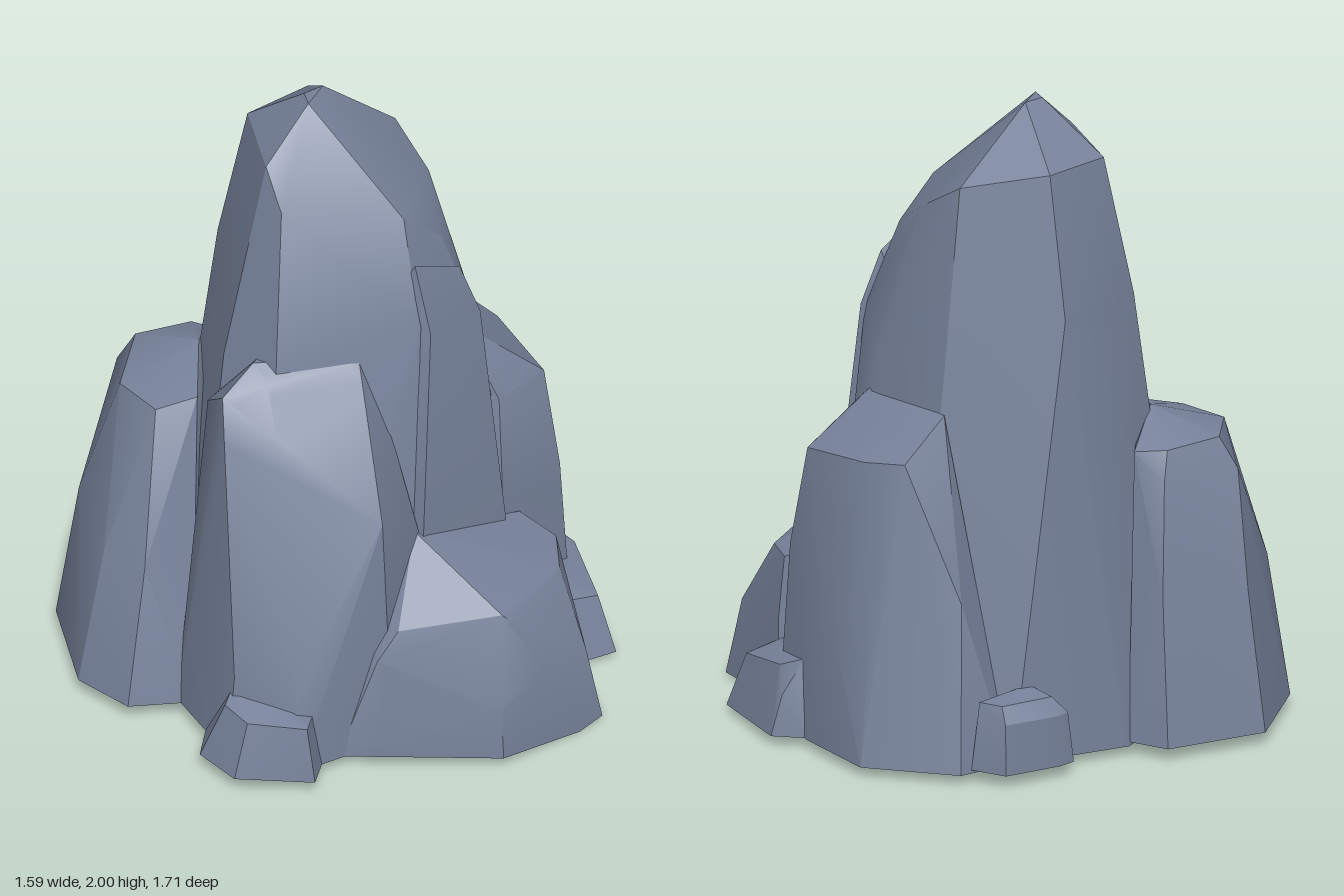
import * as THREE from 'three';
import { ConvexGeometry } from 'three/addons/geometries/ConvexGeometry.js';
import { toCreasedNormals } from 'three/addons/utils/BufferGeometryUtils.js';

const stone = new THREE.MeshStandardMaterial({ color: 0x76829a, side: THREE.DoubleSide });
stone.name = 'slate stone';
const EPS = 1e-5;

// The part of a flat polygon on one side of a plane (side is 1 or -1)
function clip(poly, plane, side) {
  const d = poly.map(v => side * plane.distanceToPoint(v));
  if (!d.some(x => x > EPS)) return [];
  const out = [];
  poly.forEach((v, i) => {
    const j = (i + 1) % poly.length;
    if (d[i] >= 0) out.push(v);
    if (d[i] * d[j] < 0) out.push(v.clone().lerp(poly[j], d[i] / (d[i] - d[j])));
  });
  return out.length > 2 ? out : [];
}

// Cuts away whatever part of a polygon lies inside a convex rock
function cutAway(poly, planes) {
  const outside = [];
  let rest = poly;
  for (const plane of planes) {
    const piece = clip(rest, plane, 1);
    if (piece.length) outside.push(piece);
    rest = clip(rest, plane, -1);
    if (!rest.length) return [poly];
  }
  return outside;
}

// A faceted rock: the hull of its corners, open underneath, joined to earlier rocks
function rock(name, corners, solids) {
  const p = new ConvexGeometry(corners.map(c => new THREE.Vector3(...c))).attributes.position;
  const planes = [];
  const kept = [];
  for (let i = 0; i < p.count; i += 3) {
    const t = new THREE.Triangle().setFromAttributeAndIndices(p, i, i + 1, i + 2);
    if (t.getArea() < EPS) continue;
    const plane = t.getPlane(new THREE.Plane());
    planes.push(plane);
    const underside = Math.max(t.a.y, t.b.y, t.c.y) < 0.1 && plane.normal.y < -0.7;
    if (underside) continue;
    let polys = [[t.a, t.b, t.c]];
    for (const solid of solids) polys = polys.flatMap(poly => cutAway(poly, solid));
    for (const poly of polys) {
      for (let k = 1; k < poly.length - 1; k++) {
        for (const v of [poly[0], poly[k], poly[k + 1]]) kept.push(v.x, v.y, v.z);
      }
    }
  }
  solids.push(planes);
  const g = new THREE.BufferGeometry();
  g.setAttribute('position', new THREE.Float32BufferAttribute(kept, 3));
  const mesh = new THREE.Mesh(toCreasedNormals(g, 0.5), stone);
  mesh.name = name;
  return mesh;
}

const rocks = {
  mainSpire: [
    // peak
    [-0.06, 2, -0.08], [0.04, 2, -0.12], [-0.03, 2, -0.13],
    // cap facets
    [-0.07, 1.84, -0.34], [0.17, 1.84, -0.32], [0.3, 1.78, -0.07], [0.28, 1.68, 0.1],
    [0.17, 1.57, 0.27], [0.03, 1.69, 0.25], [-0.24, 1.85, -0.08], [-0.27, 1.74, 0.02],
    // waist
    [-0.13, 1.4, -0.41], [0.22, 1.4, -0.42], [0.41, 1.25, -0.1], [0.37, 1.2, 0.2],
    [0.24, 1.3, 0.35], [0, 1.35, 0.35], [-0.4, 1.22, -0.1], [-0.37, 1.22, 0.1],
    // foot
    [0.12, 0.03, -0.59], [0.48, 0.03, -0.42], [0.6, 0.03, -0.1], [0.52, 0.03, 0.3],
    [0.28, 0.03, 0.44], [-0.1, 0.03, 0.46], [-0.48, 0.03, 0.3], [-0.56, 0.03, -0.1], [-0.3, 0.03, -0.5],
  ],
  frontColumn: [
    [0.02, 1.55, 0.31], [0.2, 1.47, 0.32], [0.25, 1.3, 0.36], [0.02, 1.33, 0.38],
    [-0.07, 0.6, 0.44], [0.28, 0.57, 0.44], [0.24, 1.2, 0.15], [-0.06, 1.2, 0.15],
    [-0.08, 0.03, 0.48], [0.28, 0.03, 0.47], [0.26, 0.03, 0.35], [-0.1, 0.03, 0.35],
  ],
  rightShoulder: [
    // ridge and crown
    [-0.53, 1.18, 0.03], [-0.4, 1.25, 0.03], [-0.31, 1.24, -0.01], [-0.16, 1.25, 0.25],
    [-0.44, 1.05, -0.13], [-0.57, 1.05, 0.08],
    // front corner
    [-0.11, 1.0, 0.34], [-0.07, 0.66, 0.42], [-0.29, 0.82, 0.49], [-0.29, 0.3, 0.52],
    [-0.6, 0.3, 0.43], [-0.69, 0.32, 0.25],
    // foot
    [-0.29, 0.04, 0.53], [-0.62, 0.04, 0.46], [-0.72, 0.05, 0.25], [-0.62, 0.05, -0.08],
    [-0.47, 0.05, -0.18], [-0.03, 0.04, 0.43],
  ],
  leftShoulder: [
    [0.36, 1.1, 0.22], [0.44, 1.09, -0.12], [0.61, 0.97, -0.1], [0.62, 0.95, 0.05],
    [0.55, 0.92, 0.33], [0.33, 0.93, 0.36], [0.31, 1.05, 0.29], [0.64, 0.9, 0],
    [0.29, 0.57, 0.42], [0.56, 0.6, 0.39], [0.68, 0.5, 0.15], [0.72, 0.45, -0.05], [0.58, 0.55, -0.3],
    [0.79, 0.03, -0.07], [0.66, 0.03, -0.36], [0.48, 0.03, -0.41], [0.69, 0.03, 0.22],
    [0.58, 0.03, 0.42], [0.28, 0.03, 0.44],
  ],
  backRock: [
    // crown
    [-0.2, 1.02, -0.42], [-0.25, 0.95, -0.65], [-0.07, 0.94, -0.59], [-0.45, 0.93, -0.51],
    [-0.47, 0.93, -0.33], [-0.36, 0.96, -0.26], [-0.02, 0.93, -0.5], [-0.28, 0.85, -0.7], [-0.03, 0.85, -0.61],
    // flanks
    [-0.23, 0.48, -0.78], [0.04, 0.5, -0.66], [-0.5, 0.5, -0.64], [-0.68, 0.5, -0.34], [-0.66, 0.5, -0.18],
    // foot
    [-0.22, 0.04, -0.855], [-0.55, 0.04, -0.69], [-0.77, 0.05, -0.36], [-0.76, 0.05, -0.15],
    [-0.6, 0.05, -0.03], [-0.54, 0.05, -0.08], [0.09, 0.04, -0.72], [0.11, 0.04, -0.58],
  ],
  frontBoulder: [
    // sloping top
    [-0.08, 0.66, 0.41], [0.36, 0.53, 0.42], [0.4, 0.48, 0.54], [0.3, 0.47, 0.66], [-0.03, 0.49, 0.75],
    [0.02, 0.44, 0.775], [-0.28, 0.45, 0.55], [-0.35, 0.36, 0.53], [-0.29, 0.44, 0.4],
    // belly
    [0.43, 0.28, 0.54], [0.06, 0.29, 0.835], [-0.1, 0.2, 0.82], [0.27, 0.25, 0.81],
    // foot
    [-0.1, 0.03, 0.83], [0.2, 0, 0.855], [0.3, 0.01, 0.85], [-0.47, 0.04, 0.48], [0.45, 0.02, 0.52],
    [-0.4, 0.04, 0.34], [0.38, 0.03, 0.36],
  ],
  rightPebble: [
    [-0.66, 0.28, 0.22], [-0.73, 0.24, 0.25], [-0.74, 0.23, 0.36], [-0.62, 0.22, 0.5], [-0.53, 0.22, 0.44],
    [-0.6, 0.27, 0.32], [-0.78, 0.05, 0.19], [-0.795, 0.05, 0.36], [-0.62, 0.04, 0.535], [-0.51, 0.04, 0.46],
    [-0.68, 0.05, 0.11], [-0.58, 0.05, 0.2],
  ],
  leftPebble: [
    [0.64, 0.27, 0.27], [0.66, 0.24, 0.35], [0.55, 0.2, 0.57], [0.43, 0.22, 0.54], [0.45, 0.28, 0.43],
    [0.73, 0.03, 0.33], [0.56, 0.02, 0.64], [0.41, 0.02, 0.6], [0.38, 0.02, 0.45], [0.5, 0.03, 0.32],
    [0.66, 0.03, 0.2], [0.7, 0.16, 0.31],
  ],
  backPebble: [
    [0.4, 0.25, -0.51], [0.57, 0.25, -0.45], [0.58, 0.25, -0.37], [0.4, 0.27, -0.42],
    [0.37, 0.2, -0.55], [0.42, 0.2, -0.55], [0.59, 0.2, -0.48],
    [0.36, 0.04, -0.565], [0.42, 0.04, -0.56], [0.6, 0.04, -0.49], [0.62, 0.04, -0.37], [0.5, 0.04, -0.35],
    [0.36, 0.04, -0.45],
  ],
};

export function createModel() {
  const group = new THREE.Group();
  group.name = 'rockFormation';
  const solids = [];
  for (const [name, corners] of Object.entries(rocks)) group.add(rock(name, corners, solids));
  return group;
}
